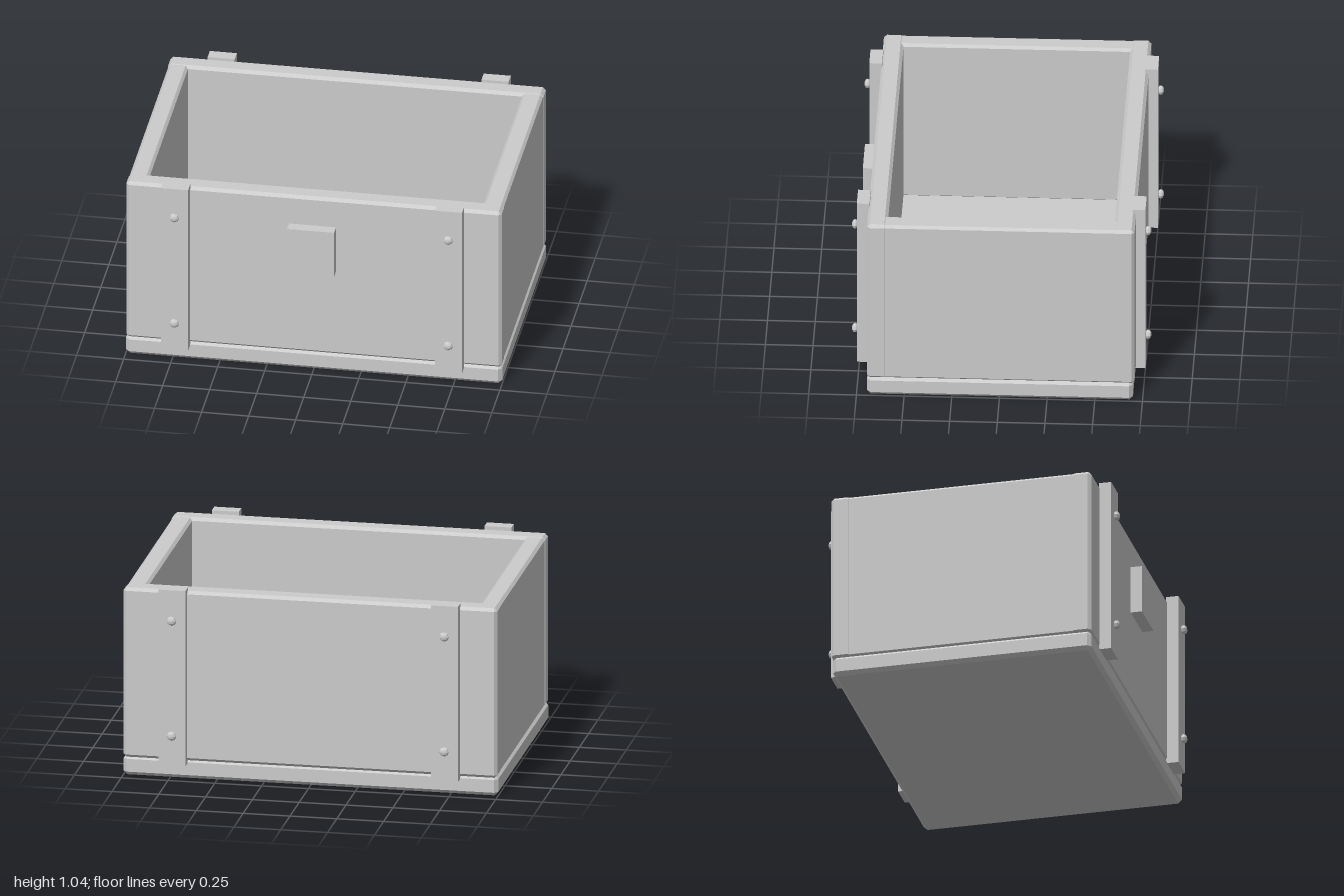
import * as THREE from 'three';
import { ConvexGeometry } from 'three/addons/geometries/ConvexGeometry.js';

const wood = new THREE.MeshStandardMaterial({ color: 0xcccccc });
wood.name = 'plain grey';

// Box given by its limits, with every edge chamfered by b
function chamferBox(min, max, b) {
  const points = [];
  for (const sx of [0, 1]) for (const sy of [0, 1]) for (const sz of [0, 1]) {
    const s = [sx, sy, sz];
    for (let full = 0; full < 3; full++) {
      const p = s.map((side, i) => {
        const inset = i === full ? 0 : b;
        return side ? max[i] - inset : min[i] + inset;
      });
      points.push(new THREE.Vector3(...p));
    }
  }
  return new ConvexGeometry(points);
}

function plainBox(min, max) {
  const size = max.map((v, i) => v - min[i]);
  return new THREE.BoxGeometry(...size)
    .translate(...max.map((v, i) => (v + min[i]) / 2));
}

export function createModel() {
  const crate = new THREE.Group();
  crate.name = 'crate';
  const add = (name, geometry) => {
    const mesh = new THREE.Mesh(geometry, wood);
    mesh.name = name;
    crate.add(mesh);
    return mesh;
  };

  // Base slab
  add('base', chamferBox([-1, 0.005, -0.7], [1, 0.115, 0.695], 0.02));

  // Walls: long ones across the whole width, short ones just inside their ends
  add('frontWall', chamferBox([-0.998, 0.105, 0.588], [0.998, 1.034, 0.695], 0.016));
  add('backWall', chamferBox([-0.998, 0.105, -0.708], [0.998, 1.034, -0.6], 0.016));
  add('leftWall', chamferBox([0.885, 0.105, -0.688], [0.995, 1.031, 0.68], 0.014));
  add('rightWall', chamferBox([-0.995, 0.105, -0.688], [-0.89, 1.031, 0.68], 0.014));

  // Latch plate on the front
  add('latchPlate', plainBox([-0.13, 0.605, 0.68], [0.12, 0.867, 0.756]));

  // Upright straps, each with two bolts
  const boltGeometry = new THREE.SphereGeometry(0.026, 8, 6)
    .toNonIndexed().rotateX(Math.PI / 2).scale(1, 1, 0.65);
  boltGeometry.computeVertexNormals();
  for (const end of [1, -1]) {
    const label = end > 0 ? 'front' : 'back';
    for (const side of [1, -1]) {
      const x = side * 0.728;
      const z0 = end * 0.69, z1 = end * 0.757;
      add(label + 'Strap', plainBox(
        [x - 0.072, 0.09, Math.min(z0, z1)],
        [x + 0.072, 1.05, Math.max(z0, z1)]));
      for (const y of [0.255, 0.885]) {
        add(label + 'Bolt', boltGeometry).position.set(x, y, end * 0.769);
      }
    }
  }
  return crate;
}
